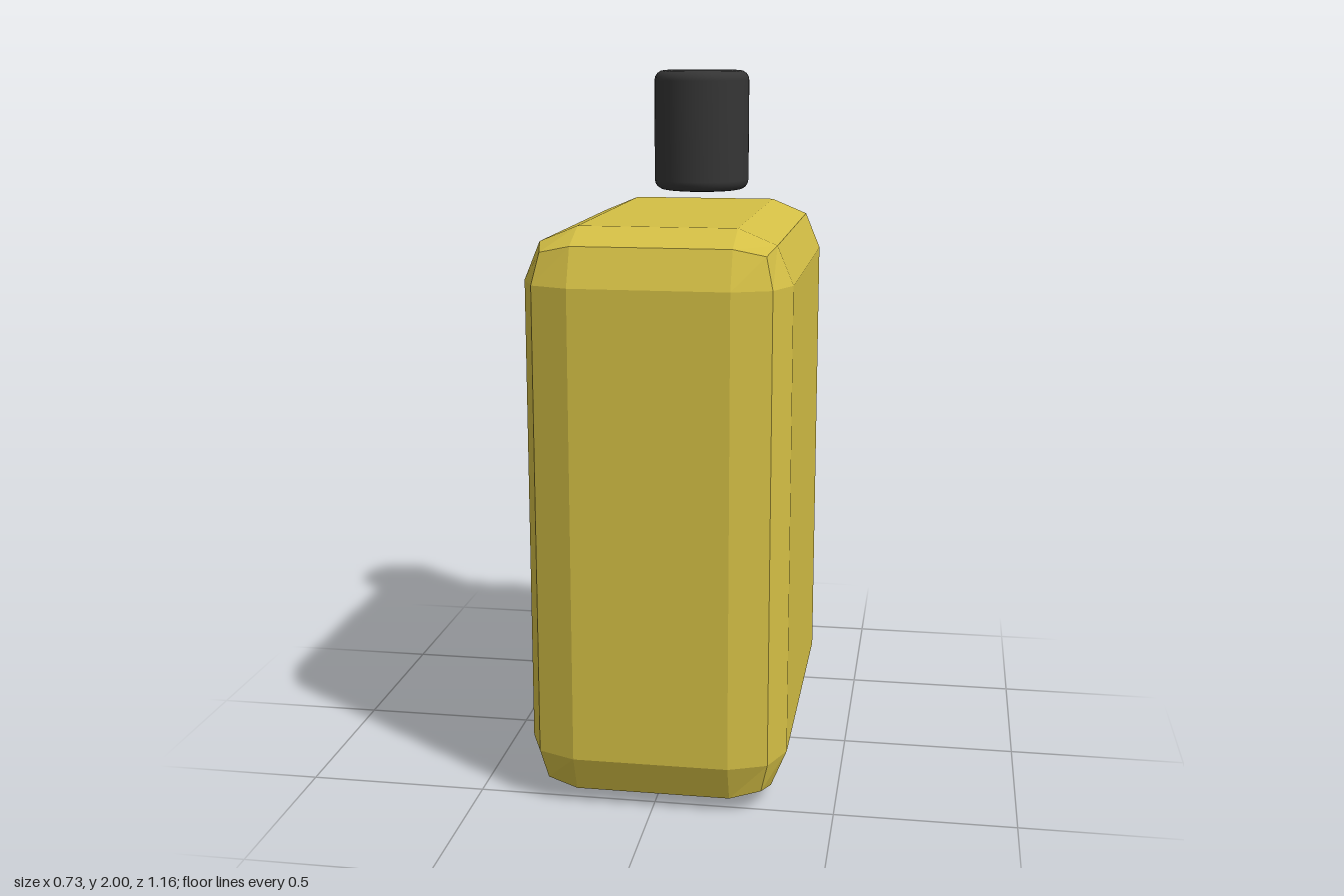
import * as THREE from 'three';

// Box whose edges are rounded in two flat steps, with matching corner patches
function bevelledBox(width, height, depth, radius) {
  const geometry = new THREE.BoxGeometry(1, 1, 1, 3, 3, 3);
  const position = geometry.attributes.position;
  const inner = new THREE.Vector3(width / 2 - radius, height / 2 - radius, depth / 2 - radius);
  const p = new THREE.Vector3();
  const snap = (v) => (Math.abs(v) > 0.4 ? Math.sign(v) : 0);
  for (let i = 0; i < position.count; i++) {
    p.fromBufferAttribute(position, i);
    const core = new THREE.Vector3(Math.sign(p.x), Math.sign(p.y), Math.sign(p.z)).multiply(inner);
    const direction = new THREE.Vector3(snap(p.x), snap(p.y), snap(p.z)).normalize();
    core.addScaledVector(direction, radius);
    position.setXYZ(i, core.x, core.y, core.z);
  }
  const flat = geometry.toNonIndexed();
  flat.computeVertexNormals();
  return flat;
}

// Cylinder with softly rounded rims
function roundedCylinder(radius, height, rim) {
  const points = [new THREE.Vector2(0, 0)];
  const steps = 4;
  for (const top of [false, true]) {
    for (let i = 0; i <= steps; i++) {
      const a = (i / steps) * Math.PI / 2 - (top ? 0 : Math.PI / 2);
      const y = (top ? height - rim : rim) + rim * Math.sin(a);
      points.push(new THREE.Vector2(radius - rim + rim * Math.cos(a), y));
    }
  }
  points.push(new THREE.Vector2(0, height));
  return new THREE.LatheGeometry(points, 32);
}

export function createModel() {
  const group = new THREE.Group();
  group.name = 'canister';

  const yellow = new THREE.MeshStandardMaterial({ name: 'mustard yellow', color: 0xd4bf45, flatShading: true });
  const black = new THREE.MeshStandardMaterial({ name: 'charcoal', color: 0x353535 });

  // Container body
  const height = 1.606;
  const body = new THREE.Mesh(bevelledBox(0.725, height, 1.16, 0.148), yellow);
  body.name = 'body';
  body.position.y = height / 2;
  group.add(body);

  // Cap hovering just above the back of the body
  const cap = new THREE.Mesh(roundedCylinder(0.145, 0.36, 0.03), black);
  cap.name = 'cap';
  cap.position.set(0, 1.64, -0.364);
  group.add(cap);

  return group;
}
